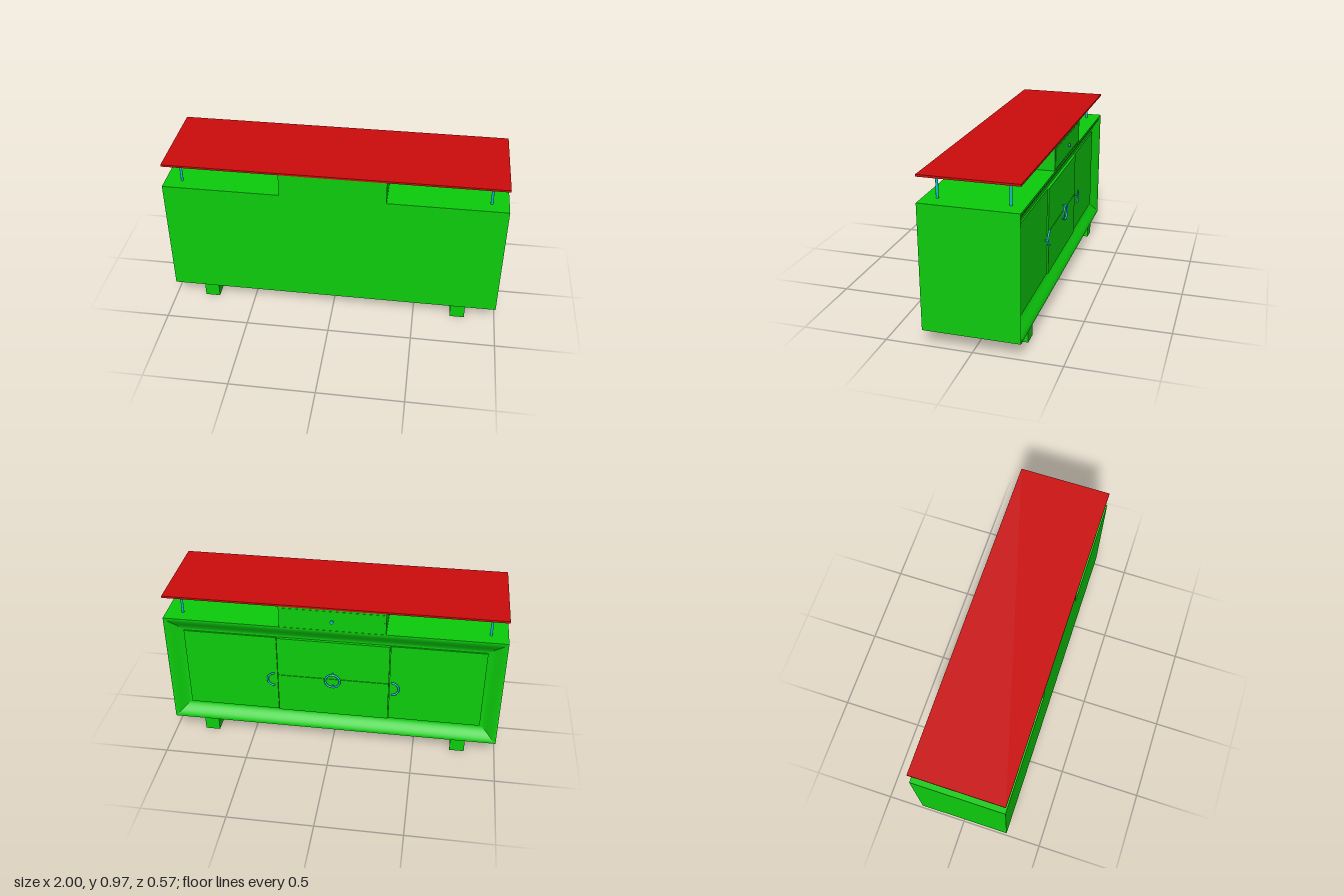
import * as THREE from 'three';
import { toCreasedNormals } from 'three/addons/utils/BufferGeometryUtils.js';

const green = new THREE.MeshStandardMaterial({ color: 0x0ccc0c });
const red = new THREE.MeshStandardMaterial({ color: 0xcc0c0c });
const cyan = new THREE.MeshStandardMaterial({ color: 0x12c0cc });

const FRONT = 0.285, BACK = -0.27, MID_Y = 0.457;

// Box given by its minimum and maximum on each axis
function box(name, material, [x0, x1], [y0, y1], [z0, z1]) {
  const mesh = new THREE.Mesh(new THREE.BoxGeometry(x1 - x0, y1 - y0, z1 - z0), material);
  mesh.position.set((x0 + x1) / 2, (y0 + y1) / 2, (z0 + z1) / 2);
  mesh.name = name;
  return mesh;
}

// Round rod along z, from z0 to z1
function rodZ(name, x, y, z0, z1, radius) {
  const geometry = new THREE.CylinderGeometry(radius, radius, Math.abs(z1 - z0), 16).rotateX(Math.PI / 2);
  const mesh = new THREE.Mesh(geometry, cyan);
  mesh.position.set(x, y, (z0 + z1) / 2);
  mesh.name = name;
  return mesh;
}

// Cabinet shell: rectangular loops, with an ogee moulding sinking into the door side
function shellGeometry() {
  const halfX = 1, halfY = 0.365;
  const loops = [[halfY, FRONT], [0, FRONT], [0, BACK]];
  for (let i = 1; i <= 12; i++) {
    const t = i / 12;
    loops.push([0.1 * t, BACK + 0.045 * t * t * (3 - 2 * t)]);
  }
  loops.push([halfY, BACK + 0.045]);
  const points = [], index = [];
  loops.forEach(([inset, z], i) => {
    for (const [sx, sy] of [[1, 1], [-1, 1], [-1, -1], [1, -1]]) {
      points.push(sx * (halfX - inset), MID_Y + sy * (halfY - inset), z);
    }
    if (i === 0) return;
    for (let j = 0; j < 4; j++) {
      const k = (j + 1) % 4, p = (i - 1) * 4, q = i * 4;
      index.push(p + j, q + k, p + k, p + j, q + j, q + k);
    }
  });
  const geometry = new THREE.BufferGeometry();
  geometry.setAttribute('position', new THREE.Float32BufferAttribute(points, 3));
  geometry.setIndex(index);
  return toCreasedNormals(geometry, 0.4);
}

// Half-ring pull standing off its panel on a short post
function halfRing(name, x, y, panelZ, angle) {
  const group = new THREE.Group();
  const z = panelZ - 0.02, r = 0.044;
  const arc = new THREE.Mesh(new THREE.TorusGeometry(r, 0.006, 10, 24, Math.PI), cyan);
  arc.rotation.z = angle - Math.PI / 2;
  arc.position.set(x, y, z);
  arc.name = name + 'Arc';
  group.add(arc, rodZ(name + 'Post', x + r * Math.cos(angle), y + r * Math.sin(angle), panelZ + 0.002, z, 0.005));
  group.name = name;
  return group;
}

export function createModel() {
  const model = new THREE.Group();

  const shell = new THREE.Mesh(shellGeometry(), green);
  shell.name = 'cabinetBody';
  model.add(shell);

  // Raised drawer block and the floating top
  model.add(box('drawerBlock', green, [-0.31, 0.31], [0.822, 0.96], [BACK + 0.002, FRONT]));
  model.add(box('topDrawerFront', green, [-0.3, 0.3], [0.83, 0.95], [BACK, BACK + 0.01]));
  model.add(box('topBoard', red, [-0.99, 0.99], [0.96, 0.972], [BACK, FRONT]));

  // Knob on the top drawer
  model.add(rodZ('knobStem', 0, 0.887, BACK, -0.278, 0.004));
  model.add(rodZ('knobHead', 0, 0.887, -0.276, -0.285, 0.011));

  // Middle drawers, sitting slightly proud of the doors
  const doorZ = -0.234, drawerZ = -0.242;
  model.add(box('upperDrawer', green, [-0.335, 0.335], [0.4585, 0.721], [drawerZ, -0.22]));
  model.add(box('lowerDrawer', green, [-0.335, 0.335], [0.193, 0.4555], [drawerZ, -0.22]));
  model.add(halfRing('upperDrawerPull', 0, MID_Y, drawerZ, Math.PI / 2));
  model.add(halfRing('lowerDrawerPull', 0, MID_Y, drawerZ, -Math.PI / 2));

  for (const side of [-1, 1]) {
    const label = side > 0 ? 'left' : 'right';
    const span = (a, b) => (side > 0 ? [a, b] : [-b, -a]);

    // Door with its pull
    model.add(box(label + 'Door', green, span(0.339, 0.895), [0.193, 0.721], [doorZ, -0.22]));
    model.add(halfRing(label + 'DoorPull', side * 0.352, 0.43, doorZ, side > 0 ? 0 : Math.PI));

    // Beam foot
    model.add(box(label + 'Foot', green, span(0.727, 0.816), [0, 0.093], [-0.257, 0.275]));

    // Posts carrying the top
    for (const z of [-0.19, 0.207]) {
      const post = new THREE.Mesh(new THREE.CylinderGeometry(0.0075, 0.0075, 0.14, 16), cyan);
      post.position.set(side * 0.9, 0.891, z);
      post.name = label + (z > 0 ? 'Front' : 'Back') + 'Post';
      model.add(post);
    }
  }
  return model;
}
